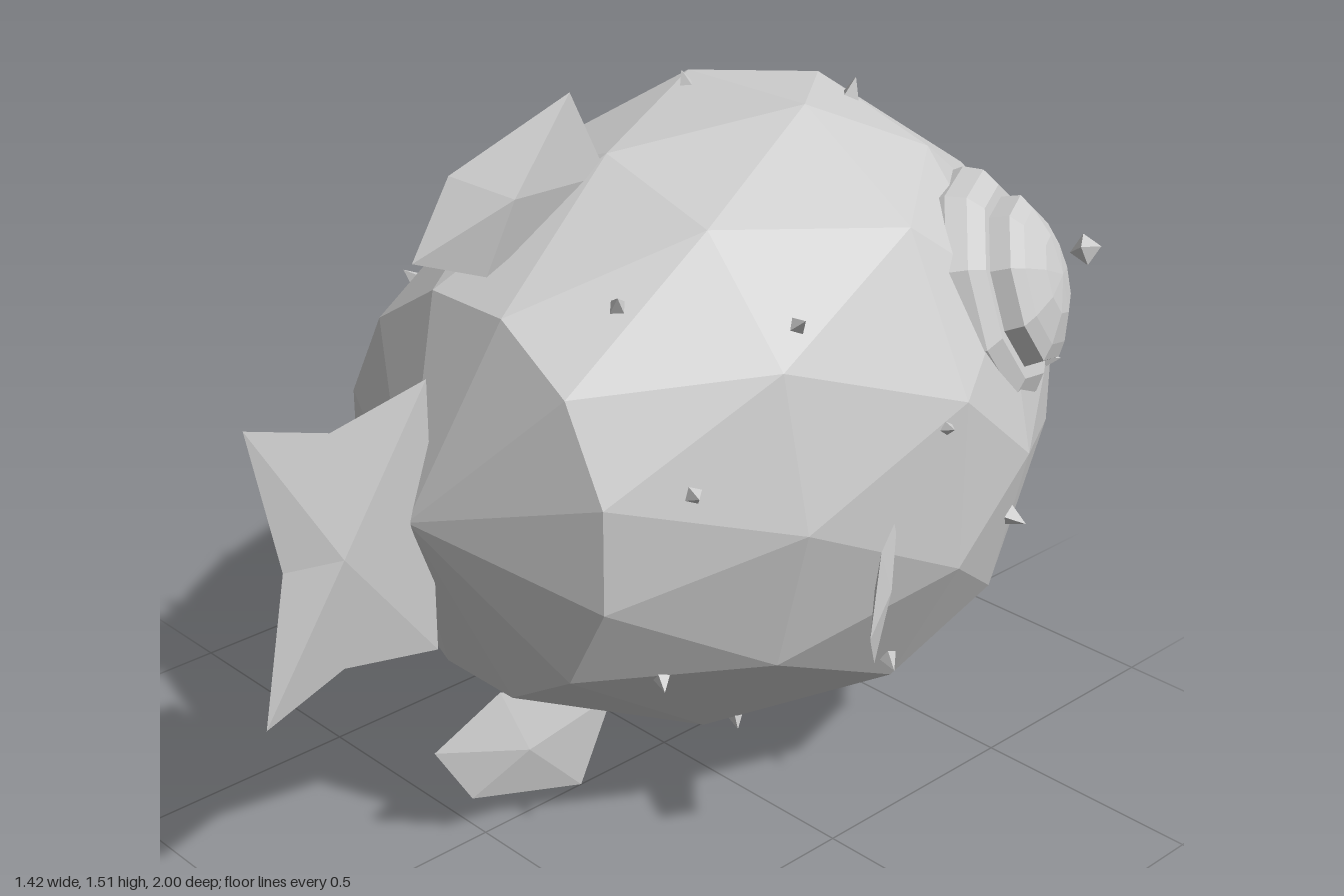
import * as THREE from 'three';

const V = (x, y, z) => new THREE.Vector3(x, y, z);
const grey = new THREE.MeshStandardMaterial({ color: 0xcccccc, flatShading: true });
grey.name = 'stoneGrey';

// Body cross-sections from tail to head: z, half width, half height
const RINGS = [
  [0.5, 0.385, 0.412], [0.15, 0.55, 0.61], [-0.22, 0.63, 0.689],
  [-0.43, 0.6, 0.655], [-0.78, 0.385, 0.42],
];
const CENTRE_Y = 0.762, SIDES = 12;

function mesh(name, geometry) {
  const m = new THREE.Mesh(geometry, grey);
  m.name = name;
  return m;
}

function facets(points) {
  const g = new THREE.BufferGeometry().setFromPoints(points);
  g.computeVertexNormals();
  return g;
}

// Rings of twelve points, every other ring turned half a step
function bodyGeometry() {
  const tris = [];
  const P = (i, k) => {
    const [z, rx, ry] = RINGS[i];
    const a = ((k + (i % 2 ? 0 : 0.5)) / SIDES) * Math.PI * 2;
    return V(rx * Math.cos(a), CENTRE_Y + ry * Math.sin(a), z);
  };
  const tail = V(0, 0.765, 0.66), nose = V(0, 0.72, -0.94);
  const last = RINGS.length - 1;
  for (let k = 0; k < SIDES; k++) {
    tris.push(tail, P(0, k), P(0, k + 1));
    tris.push(nose, P(last, k + 1), P(last, k));
    for (let i = 0; i < last; i++) {
      const q = i % 2 ? k : k + 1;
      tris.push(P(i, k), P(i + 1, q), P(i, k + 1));
      tris.push(P(i, k + 1), P(i + 1, q), P(i + 1, q + 1));
    }
  }
  return facets(tris);
}

// Thin fin: a sharp outline rising to a ridge point on both faces
function finGeometry(outline, half) {
  const c = V(0, 0, 0), n = V(0, 0, 0);
  outline.forEach((p, i) => {
    c.addScaledVector(p, 1 / outline.length);
    n.add(p.clone().cross(outline[(i + 1) % outline.length]));
  });
  n.normalize().multiplyScalar(half);
  const tris = [];
  outline.forEach((a, i) => {
    const b = outline[(i + 1) % outline.length];
    tris.push(a, b, c.clone().add(n), b, a, c.clone().sub(n));
  });
  return facets(tris);
}

// Point and outward direction on the body at a given z and angle
function onBody(z, degrees) {
  let i = 0;
  while (i < RINGS.length - 2 && z < RINGS[i + 1][0]) i++;
  const A = RINGS[i], B = RINGS[i + 1], t = (z - A[0]) / (B[0] - A[0]);
  const rx = THREE.MathUtils.lerp(A[1], B[1], t) * 0.975;
  const ry = THREE.MathUtils.lerp(A[2], B[2], t) * 0.975;
  const a = THREE.MathUtils.degToRad(degrees);
  const slope = (A[1] - B[1]) / (B[0] - A[0]);
  return {
    point: V(rx * Math.cos(a), CENTRE_Y + ry * Math.sin(a), z),
    normal: V(Math.cos(a), Math.sin(a), slope).normalize(),
  };
}

function aim(object, position, direction) {
  object.position.copy(position);
  object.quaternion.setFromUnitVectors(V(0, 1, 0), direction);
  return object;
}

export function createModel() {
  const model = new THREE.Group();
  model.name = 'pufferFish';
  model.add(mesh('body', bodyGeometry()));

  // Mouth
  const mouth = mesh('mouth', new THREE.IcosahedronGeometry(0.067, 0));
  mouth.scale.z = 0.62;
  mouth.position.set(0, 0.71, -0.96);
  model.add(mouth);

  // Tail, top and bottom fins lie in the middle plane, given as z, y
  const flat = pts => pts.map(([z, y]) => V(0, y, z));
  model.add(mesh('tailFin', finGeometry(flat([
    [0.6, 1.04], [0.82, 1.0], [1, 1.06], [0.94, 0.76], [1, 0.455], [0.82, 0.515], [0.6, 0.47],
  ]), 0.03)));
  const upper = [[0.15, 1.33], [0.24, 1.51], [0.53, 1.415], [0.62, 1.27], [0.45, 1.2]];
  model.add(mesh('topFin', finGeometry(flat(upper), 0.025)));
  model.add(mesh('bottomFin', finGeometry(flat(upper.map(([z, y]) => [z, 1.512 - y])), 0.025)));

  for (const s of [1, -1]) {
    const side = s > 0 ? 'left' : 'right';

    // Side fins
    const fin = [
      [0.565, 0.73, -0.08], [0.65, 0.735, 0.06], [0.71, 0.61, 0.15],
      [0.67, 0.52, 0.09], [0.575, 0.6, -0.06],
    ].map(([x, y, z]) => V(s * x, y, z));
    model.add(mesh(side + 'SideFin', finGeometry(fin, 0.016)));

    // Stepped eye: lid, eyeball and pupil turned on one axis
    const profile = [
      [0.24, -0.1], [0.25, -0.02], [0.235, 0.02], [0.2, 0.045], [0.175, 0.045],
      [0.17, 0.085], [0.14, 0.105], [0.08, 0.13], [0, 0.14],
    ].map(([r, h]) => new THREE.Vector2(r, h));
    const out = V(s * 0.84, 0.32, -0.44).normalize();
    const eye = mesh(side + 'Eye', new THREE.LatheGeometry(profile, 9));
    model.add(aim(eye, V(s * 0.435, 1.05, -0.5), out));

    // Eye glint
    const glint = mesh(side + 'EyeGlint', new THREE.OctahedronGeometry(0.032, 0));
    model.add(aim(glint, V(s * 0.577, 1.145, -0.595), out));
  }

  // Spikes in bands along the body: z, then angles seen from the tail
  const bands = [
    [0.34, 58, 13, -38, 142, 193, 238],
    [0.08, 37, 122, 168, 213, -58],
    [-0.17, 101, 143, 12, -38, -80, 190, 235],
    [-0.42, 80, 124, -13, 170, 215, -60],
    [-0.67, 100, 57, 10, -38, 195, 240, -75],
  ];
  const spikes = new THREE.Group();
  spikes.name = 'spikes';
  const cone = new THREE.ConeGeometry(0.032, 0.06, 4);
  for (const [z, ...angles] of bands) {
    for (const a of angles) {
      const { point, normal } = onBody(z, a);
      spikes.add(aim(mesh('spike', cone), point.addScaledVector(normal, 0.008), normal));
    }
  }
  model.add(spikes);
  return model;
}
